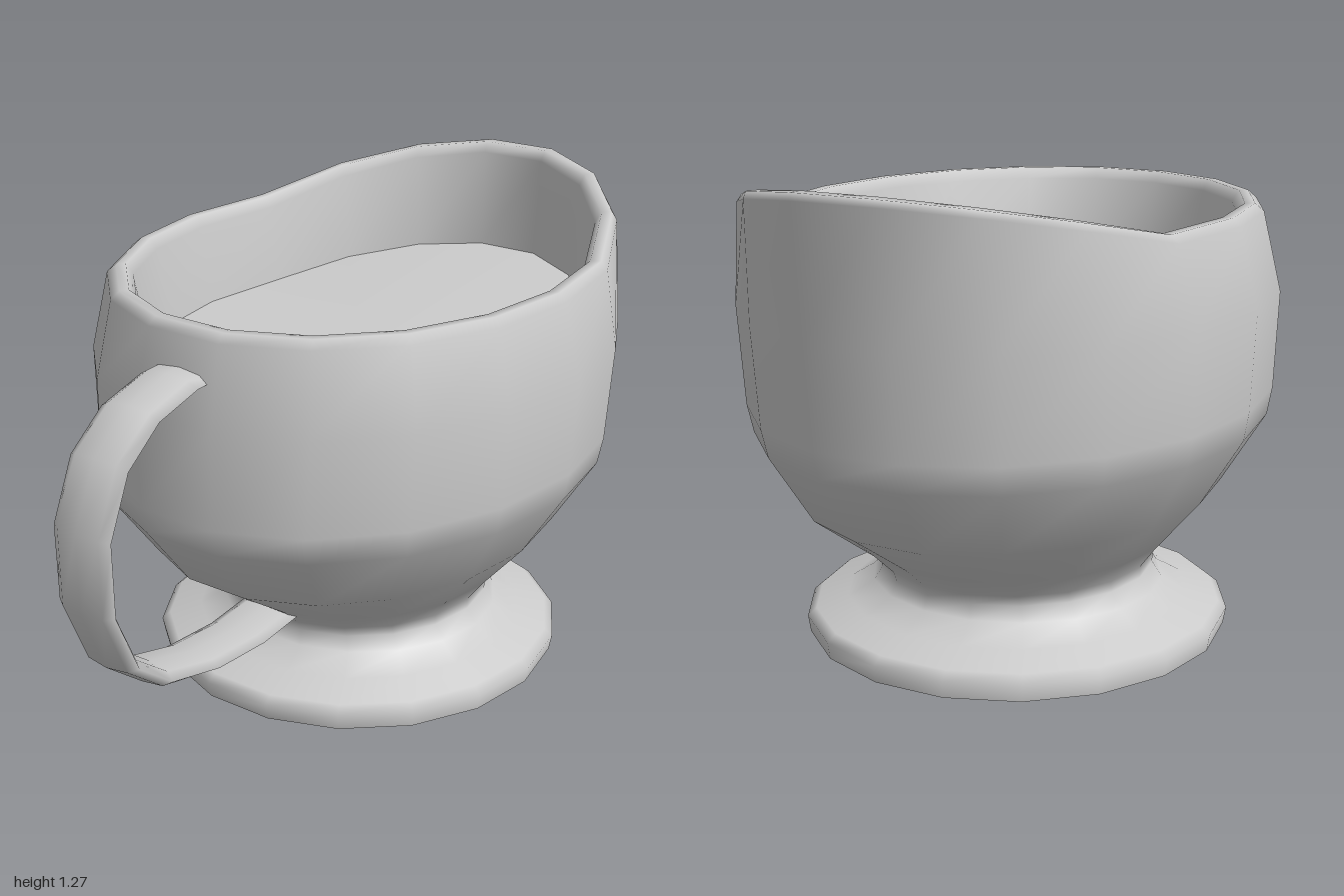
import * as THREE from 'three';

const grey = new THREE.MeshStandardMaterial({ color: 0xcccccc });
const SIDES = 18;
const CX = 0.15;

// Smooth skin through a list of closed rings of points
function loft(rings) {
  const n = rings[0].length;
  const pos = rings.flatMap(r => r.flatMap(p => p));
  const index = [];
  for (let j = 0; j < rings.length - 1; j++) {
    for (let i = 0; i < n; i++) {
      const k = (i + 1) % n;
      const a = j * n + i, b = j * n + k, c = a + n, d = b + n;
      index.push(a, c, b, b, c, d);
    }
  }
  return toGeometry(pos, index);
}

// Fan that closes a ring, facing up or down
function cap(ring, up) {
  const n = ring.length;
  const y = Math.min(...ring.map(p => p[1]));
  const pos = [...ring.flatMap(p => p), CX, y, 0];
  const index = [];
  for (let i = 0; i < n; i++) {
    const k = (i + 1) % n;
    if (up) index.push(n, k, i);
    else index.push(n, i, k);
  }
  return toGeometry(pos, index);
}

function toGeometry(pos, index) {
  const g = new THREE.BufferGeometry();
  g.setAttribute('position', new THREE.Float32BufferAttribute(pos, 3));
  g.setIndex(index);
  g.computeVertexNormals();
  return g;
}

// Oval ring from its handle-side x, spout-side x, half depth and spout lift
function oval([y, xMin, xMax, rz, lift = 0]) {
  const ring = [];
  for (let i = 0; i < SIDES; i++) {
    const a = (i + 0.5) * 2 * Math.PI / SIDES;
    const c = Math.cos(a);
    const rx = (c > 0 ? xMax - CX : CX - xMin) / Math.cos(Math.PI / SIDES);
    const rise = THREE.MathUtils.clamp((c - 0.342) / 0.643, 0, 1);
    ring.push([CX + rx * c, y + lift * rise, rz * Math.sin(a)]);
  }
  return ring;
}

export function createModel() {
  const group = new THREE.Group();
  const add = (name, geometry) => {
    const mesh = new THREE.Mesh(geometry, grey);
    mesh.name = name;
    group.add(mesh);
  };

  // Foot, waist, bowl, rolled lip and inner wall
  const rings = [
    [0, -0.42, 0.72, 0.565],
    [0.045, -0.43, 0.725, 0.573],
    [0.065, -0.405, 0.70, 0.55],
    [0.09, -0.31, 0.61, 0.465],
    [0.13, -0.235, 0.53, 0.40],
    [0.17, -0.222, 0.52, 0.37],
    [0.20, -0.235, 0.535, 0.37],
    [0.26, -0.30, 0.60, 0.415],
    [0.40, -0.50, 0.80, 0.535],
    [0.585, -0.635, 0.915, 0.65],
    [0.66, -0.652, 0.935, 0.663],
    [0.92, -0.645, 0.955, 0.677],
    [1.13, -0.60, 0.995, 0.628, 0.125],
    [1.15, -0.575, 1.0, 0.605, 0.125],
    [1.15, -0.55, 0.965, 0.578, 0.125],
    [1.12, -0.53, 0.95, 0.56, 0.125],
    [0.90, -0.48, 0.94, 0.53, 0.06],
  ].map(oval);
  add('jugBody', loft(rings));
  add('footUnderside', cap(rings[0], false));
  add('liquidSurface', cap(rings[rings.length - 1], true));

  // Handle: strap swept from the lip down to the waist (outer x, y, inner x, y)
  const strap = [
    [-0.56, 1.055, -0.56, 1.01],
    [-0.66, 1.052, -0.65, 1.005],
    [-0.80, 1.015, -0.79, 0.97],
    [-0.925, 0.925, -0.89, 0.89],
    [-1.0, 0.76, -0.955, 0.745],
    [-1.0, 0.55, -0.95, 0.56],
    [-0.925, 0.37, -0.88, 0.40],
    [-0.80, 0.27, -0.77, 0.315],
    [-0.61, 0.225, -0.60, 0.265],
    [-0.42, 0.213, -0.42, 0.25],
    [-0.27, 0.23, -0.27, 0.26],
    [-0.18, 0.24, -0.18, 0.27],
  ].map(([ox, oy, ix, iy]) => {
    const ring = [];
    for (let i = 0; i < 8; i++) {
      const a = i * Math.PI / 4;
      const t = (1 - Math.cos(a)) / 2;
      ring.push([ox + (ix - ox) * t, oy + (iy - oy) * t, 0.09 * Math.sin(a)]);
    }
    return ring;
  });
  add('handle', loft(strap));

  return group;
}
